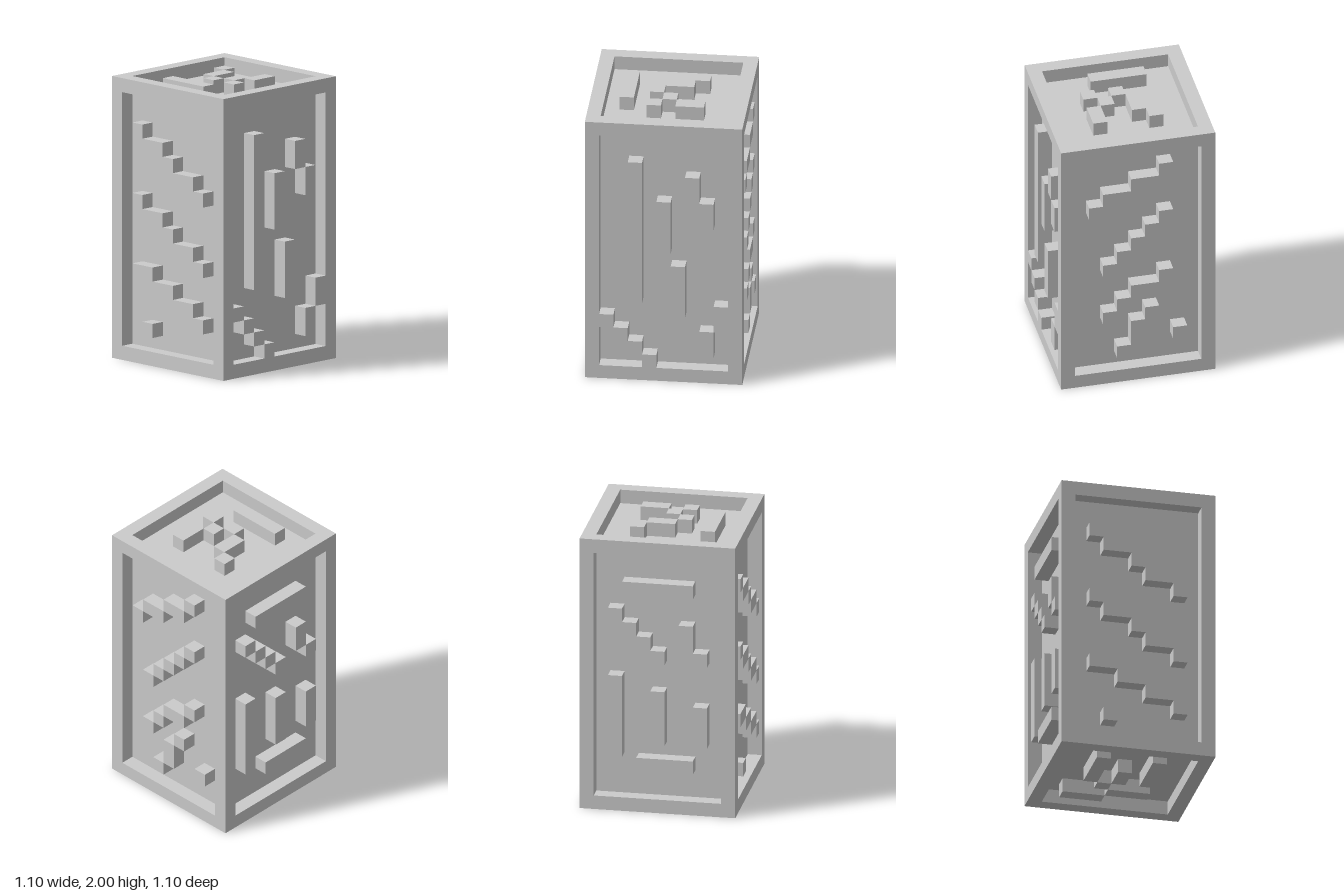
import * as THREE from 'three';

const CELL = 0.1; // the whole design sits on a 0.1 grid: 11 x 20 x 11 cells
const SIZE = [11, 20, 11];

// Raised blocks per face: [u, v, width, height] in cells from the low corner.
const frontBlocks = [
  [2, 16, 1, 1], [3, 15, 2, 1], [5, 14, 1, 1], [6, 13, 2, 1], [8, 12, 1, 1],
  [2, 11, 1, 1], [3, 10, 2, 1], [5, 9, 1, 1], [6, 8, 2, 1], [8, 7, 1, 1],
  [2, 6, 2, 1], [4, 5, 2, 1], [6, 4, 2, 1], [8, 3, 1, 1], [3, 2, 1, 1],
];
const backBlocks = [
  [8, 14, 1, 1], [6, 15, 2, 1], [4, 16, 2, 1], [3, 17, 1, 1],
  [7, 9, 1, 1], [6, 10, 1, 1], [5, 11, 1, 1], [4, 12, 1, 1], [3, 13, 1, 1],
  [7, 5, 1, 1], [6, 6, 1, 1], [4, 7, 2, 1], [3, 8, 1, 1],
  [4, 5, 1, 1], [5, 3, 1, 2], [6, 2, 1, 1], [2, 3, 1, 1],
];
const leftBlocks = [
  [7, 6, 1, 11], [5, 10, 1, 4], [3, 14, 1, 2], [2, 12, 1, 2], [4, 5, 1, 4],
  [1, 4, 1, 2], [2, 2, 1, 2],
  [9, 4, 1, 1], [8, 3, 1, 1], [7, 2, 1, 1], [6, 1, 1, 1],
];
const rightBlocks = [
  [3, 16, 5, 1], [4, 3, 4, 1], [2, 4, 1, 6], [5, 5, 1, 4], [8, 5, 1, 3],
  [7, 12, 1, 2], [8, 11, 1, 1],
  [2, 14, 1, 1], [3, 13, 1, 1], [4, 12, 1, 1], [5, 11, 1, 1],
];
const topBlocks = [
  [3, 3, 1, 1], [4, 4, 1, 2], [5, 6, 1, 1], [6, 5, 1, 1],
  [7, 3, 1, 2], [7, 6, 1, 1], [3, 8, 4, 1],
];
const bottomBlocks = [
  [7, 5, 1, 4], [5, 3, 3, 1], [2, 2, 3, 1], [5, 5, 1, 2], [4, 4, 1, 1], [3, 5, 1, 4],
];

export function createModel() {
  const model = new THREE.Group();
  const material = new THREE.MeshStandardMaterial({ color: 0xcccccc, flatShading: true });

  // Box given by its low corner and size in cells.
  function addBox(parent, name, low, size) {
    const mesh = new THREE.Mesh(new THREE.BoxGeometry(...size.map((s) => s * CELL)), material);
    const c = low.map((l, i) => (l + size[i] / 2) * CELL);
    mesh.position.set(c[0] - 0.55, c[1], c[2] - 0.55);
    mesh.name = name;
    parent.add(mesh);
  }

  function addGroup(name) {
    const group = new THREE.Group();
    group.name = name;
    model.add(group);
    return group;
  }

  // Inner body whose faces are the recessed panels
  addBox(model, 'core', [1, 1, 1], [9, 18, 9]);

  // Outer frame: four posts and eight rails
  const frame = addGroup('frame');
  for (const a of [0, 10]) {
    for (const b of [0, 10]) addBox(frame, 'cornerPost', [a, 0, b], [1, 20, 1]);
    for (const y of [0, 19]) {
      addBox(frame, 'crossRail', [1, y, a], [9, 1, 1]);
      addBox(frame, 'sideRail', [a, y, 1], [1, 1, 9]);
    }
  }

  // Raised blocks, flush with the frame; axes are u, v and the face normal
  function addPanel(name, blocks, [u, v, n], positive) {
    const group = addGroup(name);
    for (const [bu, bv, w, h] of blocks) {
      const low = [], size = [];
      low[u] = bu; size[u] = w;
      low[v] = bv; size[v] = h;
      low[n] = positive ? SIZE[n] - 1 : 0; size[n] = 1;
      addBox(group, 'raisedBlock', low, size);
    }
  }
  addPanel('frontRelief', frontBlocks, [0, 1, 2], true);
  addPanel('backRelief', backBlocks, [0, 1, 2], false);
  addPanel('leftRelief', leftBlocks, [2, 1, 0], true);
  addPanel('rightRelief', rightBlocks, [2, 1, 0], false);
  addPanel('topRelief', topBlocks, [0, 2, 1], true);
  addPanel('bottomRelief', bottomBlocks, [0, 2, 1], false);

  return model;
}
